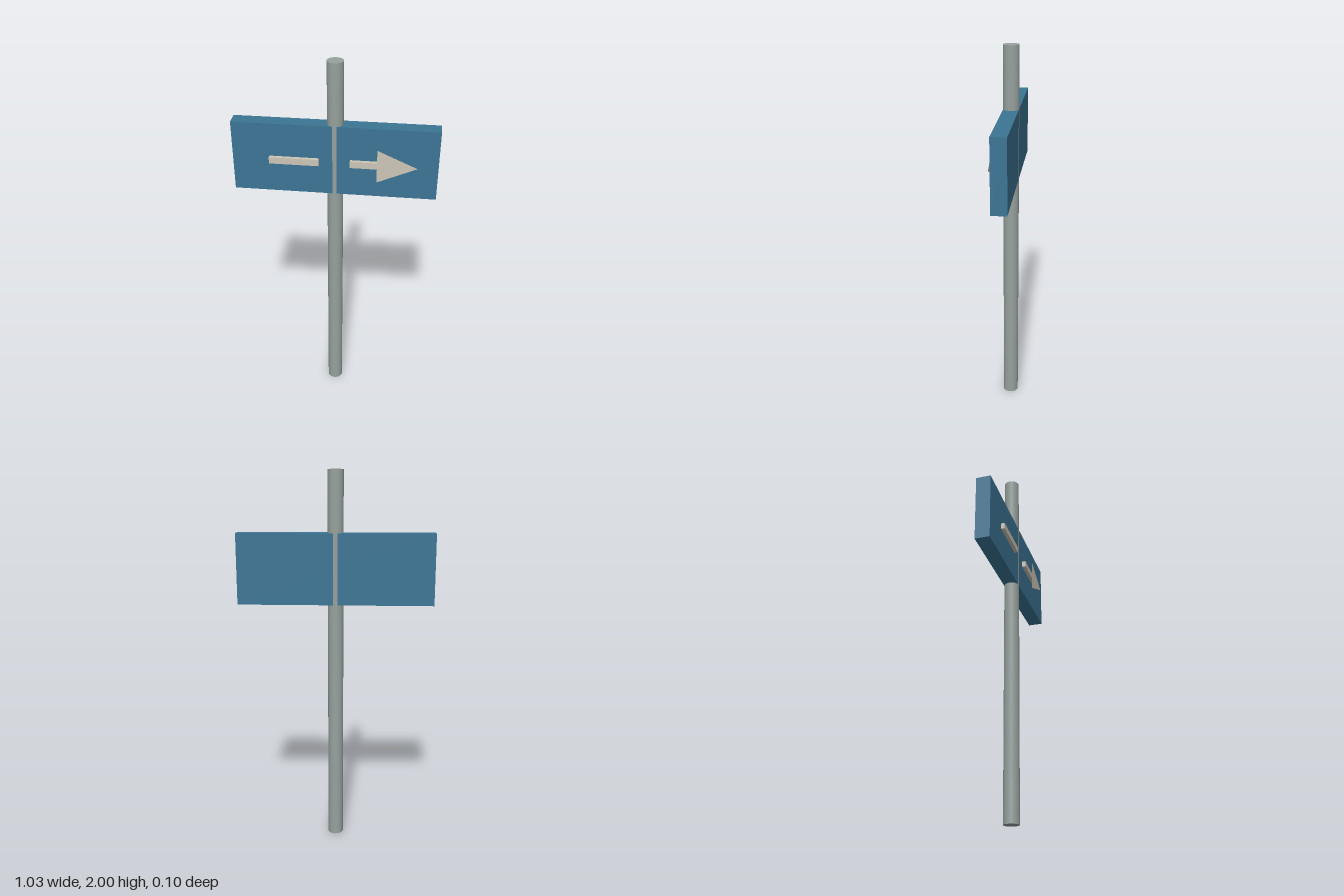
import * as THREE from 'three';

export function createModel() {
  const model = new THREE.Group();
  const material = (name, color, extra = {}) => {
    const m = new THREE.MeshStandardMaterial({ color, ...extra });
    m.name = name;
    return m;
  };
  const steel = material('grey steel', 0x97a19e);
  const blue = material('sign blue', 0x3c7595);
  const cream = material('cream', 0xcdc6b8, { side: THREE.DoubleSide });

  const add = (name, geometry, mat, x, y, z) => {
    const mesh = new THREE.Mesh(geometry, mat);
    mesh.name = name;
    mesh.position.set(x, y, z);
    model.add(mesh);
  };

  const axisZ = -0.011; // shared depth centre of pole and board
  const signY = 1.497;

  // Pole, just thick enough to show as a strip on both faces of the board
  add('pole', new THREE.CylinderGeometry(0.041, 0.041, 2, 24), steel, 0, 1, axisZ);
  add('signBoard', new THREE.BoxGeometry(1.03, 0.371, 0.079), blue, 0, signY, axisZ);

  // Raised arrow shaft in two halves, either side of the pole
  for (const [name, side] of [['leftShaft', 1], ['rightShaft', -1]]) {
    add(name, new THREE.BoxGeometry(0.25, 0.034, 0.024), cream, side * 0.203, 1.491, 0.036);
  }

  // Flat arrow head lying over the end of the shaft
  const head = new THREE.Shape([
    new THREE.Vector2(0.213, -0.088),
    new THREE.Vector2(0.413, 0),
    new THREE.Vector2(0.213, 0.088),
  ]);
  add('arrowHead', new THREE.ShapeGeometry(head), cream, 0, 1.491, 0.051);

  return model;
}
